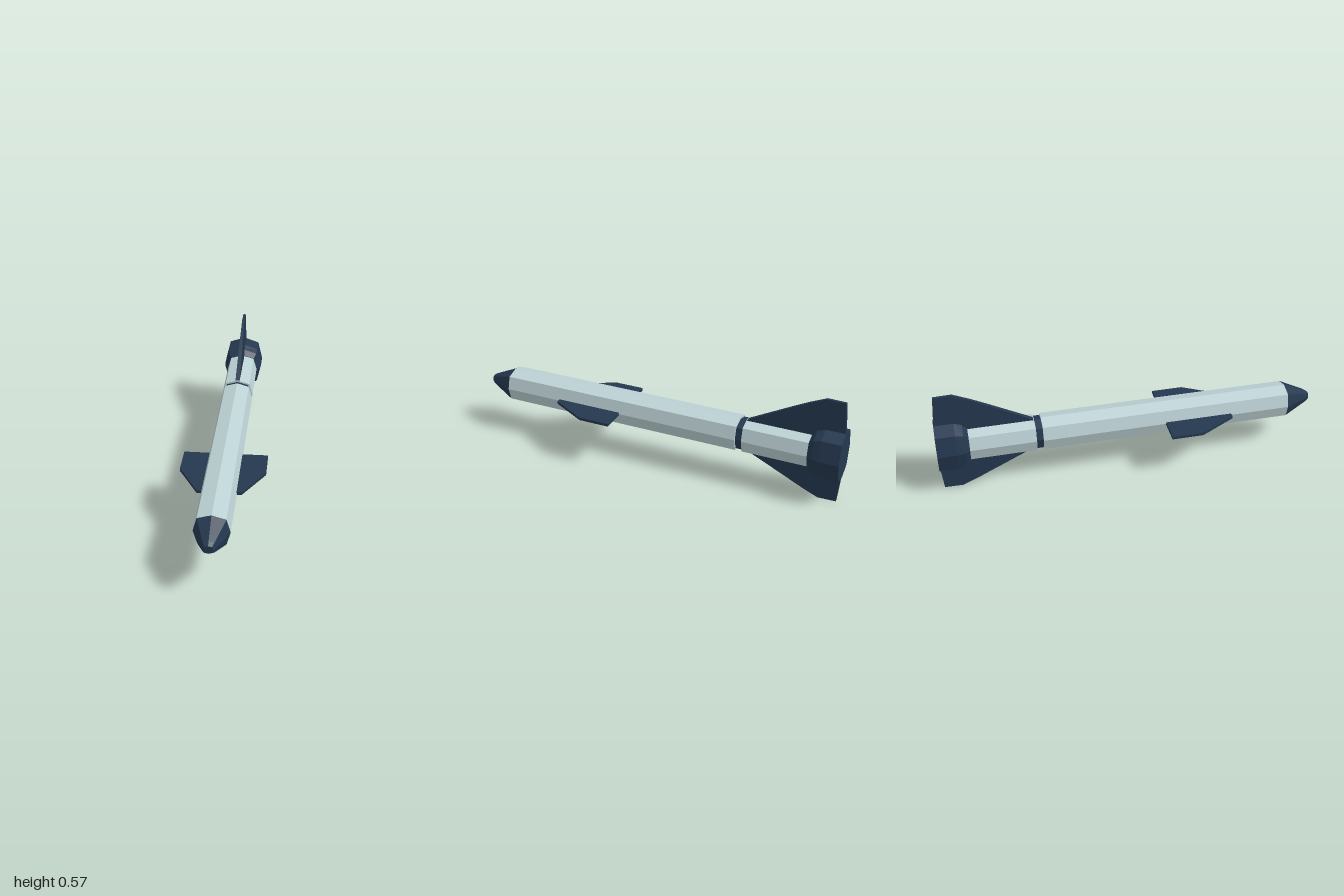
import * as THREE from 'three';

const AXIS_Y = 0.273; // height of the body's centre line

const shell = new THREE.MeshStandardMaterial({ color: 0xbdd2d5, flatShading: true });
shell.name = 'pale shell';
const navy = new THREE.MeshStandardMaterial({ color: 0x24384f, flatShading: true });
navy.name = 'dark navy';

// Corner of the slightly boxy octagon that all hull sections share
function corner(i, rx, ry) {
  const a = (i % 8) * Math.PI / 4;
  const k = i % 2 ? 1.1 : 1;
  return [Math.cos(a) * rx * k, AXIS_Y + Math.sin(a) * ry * k];
}

// Closed hull through octagonal sections [z, rx, ry], listed from back to front
function hull(sections) {
  const pos = [];
  const point = (s, i) => {
    const [x, y] = corner(i, s[1], s[2]);
    return [x, y, s[0]];
  };
  const back = sections[0], front = sections[sections.length - 1];
  for (let i = 0; i < 8; i++) {
    for (let j = 0; j < sections.length - 1; j++) {
      const a = point(sections[j], i), b = point(sections[j], i + 1);
      const c = point(sections[j + 1], i + 1), d = point(sections[j + 1], i);
      pos.push(...a, ...b, ...c, ...a, ...c, ...d);
    }
    pos.push(0, AXIS_Y, back[0], ...point(back, i + 1), ...point(back, i));
    pos.push(0, AXIS_Y, front[0], ...point(front, i), ...point(front, i + 1));
  }
  const g = new THREE.BufferGeometry();
  g.setAttribute('position', new THREE.Float32BufferAttribute(pos, 3));
  g.computeVertexNormals();
  return g;
}

// Flat plate from an outline, centred on its own thickness
function plate(points, thickness) {
  const shape = new THREE.Shape(points.map(([x, y]) => new THREE.Vector2(x, y)));
  const g = new THREE.ExtrudeGeometry(shape, { depth: thickness, bevelEnabled: false });
  return g.translate(0, 0, -thickness / 2);
}

export function createModel() {
  const model = new THREE.Group();
  model.name = 'missile';
  const add = (name, geometry, material) => {
    const mesh = new THREE.Mesh(geometry, material);
    mesh.name = name;
    model.add(mesh);
  };

  // Hull from nose to tail
  add('noseCone', hull([[0.86, 0.086, 0.087], [0.98, 0.033, 0.033], [1, 0.022, 0.02]]), navy);
  add('mainBody', hull([[-0.46, 0.086, 0.087], [0.86, 0.086, 0.087]]), shell);
  add('collar', hull([[-0.5, 0.077, 0.078], [-0.455, 0.077, 0.078]]), navy);
  add('rearBody', hull([[-0.85, 0.086, 0.087], [-0.495, 0.086, 0.087]]), shell);
  add('tailNozzle', hull([
    [-1, 0.109, 0.132], [-0.9, 0.109, 0.132], [-0.86, 0.103, 0.117], [-0.835, 0.087, 0.089],
  ]), navy);

  // Upright tail fins, thinning away from the body
  const tailOutline = [
    [-0.49, 0.06], [-0.5, 0.088], [-0.72, 0.208], [-0.81, 0.255],
    [-0.89, 0.292], [-0.985, 0.29], [-0.998, 0.13], [-0.998, 0.06],
  ];
  for (const [name, side, tip, reach] of [['upperTailFin', 1, 0.6, 1], ['lowerTailFin', -1, 0.8, 0.935]]) {
    const g = plate(tailOutline.map(([z, h]) => [z, side * h * (h > 0.1 ? reach : 1)]), 0.024);
    g.rotateY(-Math.PI / 2);
    const p = g.attributes.position;
    for (let i = 0; i < p.count; i++) {
      const t = THREE.MathUtils.clamp((Math.abs(p.getY(i)) - 0.1) / 0.19, 0, 1);
      p.setX(i, p.getX(i) * THREE.MathUtils.lerp(1, tip, t));
    }
    g.translate(0, AXIS_Y, 0);
    g.computeVertexNormals();
    add(name, g, navy);
  }

  // Level wings towards the front
  const wingOutline = [[0.06, 0.54], [0.108, 0.54], [0.214, 0.35], [0.214, 0.185], [0.06, 0.185]];
  for (const [name, side] of [['leftWing', 1], ['rightWing', -1]]) {
    const g = plate(wingOutline.map(([x, z]) => [side * x, z]), 0.015);
    g.rotateX(Math.PI / 2).translate(0, AXIS_Y, 0);
    add(name, g, navy);
  }

  return model;
}
